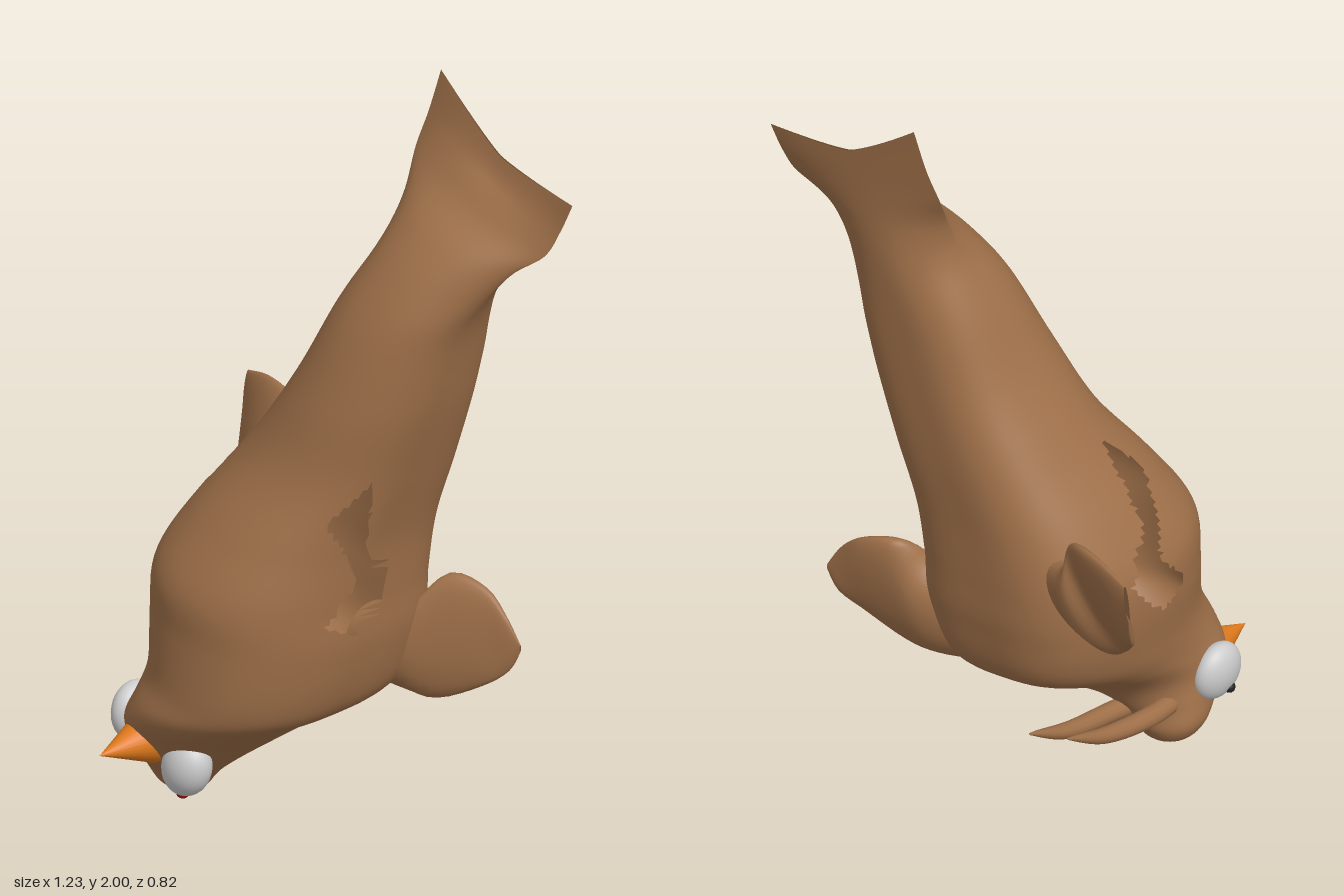
import * as THREE from 'three';

const mat = (color) => new THREE.MeshStandardMaterial({ color, side: THREE.DoubleSide, roughness: 0.9 });
const hide = mat(0x9f7049), orange = mat(0xe07a1c), white = mat(0xcccccc), red = mat(0xa01818), dark = mat(0x222222);

// Uniform Catmull-Rom between rows of numbers
function refine(rows, steps) {
  const out = [];
  const at = (i) => rows[Math.min(rows.length - 1, Math.max(0, i))];
  for (let i = 0; i < rows.length - 1; i++) {
    for (let s = 0; s < steps; s++) {
      const t = s / steps;
      out.push(rows[i].map((_, k) => {
        const [p, q, r, w] = [at(i - 1)[k], at(i)[k], at(i + 1)[k], at(i + 2)[k]];
        return q + 0.5 * t * (r - p + t * (2 * p - 5 * q + 4 * r - w + t * (3 * (q - r) + w - p)));
      }));
    }
  }
  out.push(rows[rows.length - 1]);
  return out;
}

// Skin over oval sections: edge points (ax, ay) and (bx, by), front z, back z.
// form(y, row) may give skew (edge b forward), square (boxy back), pinch (thin edges), dip (sunken middle)
function loft(rows, steps, segs, form, isHole = () => false) {
  const rings = refine(rows, steps), pos = [], index = [];
  const power = (n, e) => Math.sign(n) * Math.abs(n) ** e;
  for (const ring of rings) {
    const [ax, ay, bx, by, zf, zb] = ring;
    const { skew = 0, square = 0, pinch = 0, dip = 0 } = form((ay + by) / 2, ring);
    for (let i = 0; i < segs; i++) {
      const t = (i / segs) * Math.PI * 2;
      const c = -Math.cos(t), s = Math.sin(t);
      const e = s > 0 ? 0.95 : 0.95 - square * (c > 0 ? 0.45 : 0.2);
      const u = power(c, e), v = power(s, e + pinch);
      const sag = dip * (1 - Math.abs(u) ** 1.3);
      pos.push(
        (ax + bx) / 2 + (u * (bx - ax)) / 2 - sag * 0.4,
        (ay + by) / 2 + (u * (by - ay)) / 2 - sag * 0.9,
        (zf + zb) / 2 + (v * (zf - zb)) / 2 + skew * u
      );
    }
  }
  for (let r = 0; r < rings.length - 1; r++) {
    for (let i = 0; i < segs; i++) {
      const a = r * segs + i, b = r * segs + ((i + 1) % segs), c = a + segs, d = b + segs;
      for (const tri of [[a, b, c], [b, d, c]]) {
        const mid = [0, 1, 2].map((k) => tri.reduce((sum, n) => sum + pos[n * 3 + k] / 3, 0));
        if (!isHole(...mid)) index.push(...tri);
      }
    }
  }
  const g = new THREE.BufferGeometry();
  g.setAttribute('position', new THREE.Float32BufferAttribute(pos, 3));
  g.setIndex(index);
  g.computeVertexNormals();
  return g;
}

// Piecewise linear value through [y, z] points of rising y
function along(points, y) {
  const i = Math.max(1, points.findIndex((p) => p[0] >= y));
  const [[y0, z0], [y1, z1]] = [points[i - 1], points[i]];
  return THREE.MathUtils.mapLinear(y, y0, y1, z0, z1);
}

export function createModel() {
  const model = new THREE.Group();
  const add = (name, geometry, material, x = 0, y = 0, z = 0) => {
    const m = new THREE.Mesh(geometry, material);
    m.name = name;
    m.position.set(x, y, z);
    model.add(m);
    return m;
  };

  // Head, body and tail fluke in one skin, with a ragged gap in each flank
  const body = [
    [-0.31, 0.005, -0.31, 0.005, 0.11, 0.11],
    [-0.37, 0.015, -0.25, 0.005, 0.16, 0.05],
    [-0.41, 0.07, -0.22, 0.04, 0.19, 0.02],
    [-0.41, 0.14, -0.18, 0.08, 0.23, 0.01],
    [-0.4, 0.22, -0.11, 0.14, 0.275, -0.04],
    [-0.39, 0.3, 0.02, 0.24, 0.31, -0.2],
    [-0.4, 0.4, 0.12, 0.31, 0.3, -0.35],
    [-0.42, 0.55, 0.17, 0.48, 0.29, -0.39],
    [-0.41, 0.68, 0.18, 0.62, 0.28, -0.395],
    [-0.34, 0.82, 0.2, 0.78, 0.2, -0.395],
    [-0.22, 1.0, 0.25, 0.96, 0.09, -0.4],
    [-0.1, 1.2, 0.31, 1.16, 0.025, -0.4],
    [-0.01, 1.4, 0.36, 1.36, -0.045, -0.4],
    [0.06, 1.55, 0.41, 1.47, -0.12, -0.4],
    [0.08, 1.67, 0.48, 1.57, -0.21, -0.4],
    [0.07, 1.78, 0.55, 1.63, -0.31, -0.4],
    [0.09, 1.88, 0.58, 1.7, -0.365, -0.4],
    [0.12, 2.0, 0.61, 1.78, -0.395, -0.4],
  ];
  const rise = THREE.MathUtils.smoothstep;
  const bodyForm = (y) => ({
    skew: -0.05 * Math.exp(-(((y - 0.2) / 0.09) ** 2)),
    square: rise(y, 0.1, 0.45) - rise(y, 1.3, 1.62),
    pinch: rise(y, 1.42, 1.75),
    dip: 0.065 * rise(y, 1.72, 1.89),
  });
  const gapFront = [[0.53, -0.04], [0.58, 0.05], [0.69, -0.04], [0.87, 0.05], [0.98, -0.05]];
  const gapBack = [[0.53, -0.04], [0.65, -0.15], [0.72, -0.12], [0.77, -0.06], [0.98, -0.05]];
  const flankGap = (x, y, z) =>
    y > 0.53 && y < 0.98 && z < along(gapFront, y) && z > along(gapBack, y);
  add('body', loft(body, 8, 120, bodyForm, flankGap), hide);

  // Flippers, root to tip; the seventh number slants the blade back from its leading edge
  const flipperForm = (y, row) => ({ skew: row[6] });
  add('leftFlipper', loft([
    [0.0, 0.5, -0.02, 0.31, -0.18, -0.35, 0],
    [0.13, 0.54, 0.1, 0.285, -0.22, -0.37, 0],
    [0.2, 0.62, 0.2, 0.28, -0.28, -0.385, 0.02],
    [0.3, 0.6, 0.32, 0.34, -0.34, -0.4, 0.015],
    [0.37, 0.54, 0.38, 0.39, -0.375, -0.405, 0],
    [0.41, 0.47, 0.41, 0.45, -0.4, -0.405, 0],
  ], 4, 32, flipperForm), hide);
  add('rightFlipper', loft([
    [-0.3, 0.4, -0.25, 0.78, -0.14, -0.32, -0.06],
    [-0.4, 0.46, -0.34, 0.8, -0.17, -0.33, -0.08],
    [-0.46, 0.53, -0.36, 0.88, -0.23, -0.32, -0.065],
    [-0.53, 0.61, -0.42, 0.92, -0.29, -0.36, -0.04],
    [-0.59, 0.69, -0.52, 0.925, -0.35, -0.395, -0.015],
    [-0.62, 0.8, -0.605, 0.905, -0.395, -0.41, 0],
  ], 4, 32, flipperForm), hide);

  // Tapered tusks sweeping backwards
  for (const [name, x, y] of [['rightTusk', -0.36, 0.05], ['leftTusk', -0.23, 0]]) {
    const path = new THREE.CatmullRomCurve3([
      new THREE.Vector3(x * 0.8 - 0.06, y + 0.09, 0.09),
      new THREE.Vector3(x, y + 0.1, -0.02),
      new THREE.Vector3(x, y + 0.14, -0.2),
      new THREE.Vector3(x, y + 0.21, -0.345),
    ]);
    const tusk = new THREE.TubeGeometry(path, 24, 0.028, 12), p = tusk.attributes.position;
    for (let i = 0; i < p.count; i++) {
      const t = Math.floor(i / 13) / 24, c = path.getPointAt(t);
      const v = new THREE.Vector3().fromBufferAttribute(p, i).sub(c).multiplyScalar(1 - 0.9 * t ** 3.5).add(c);
      p.setXYZ(i, v.x, v.y, v.z);
    }
    add(name, tusk, hide);
  }

  // Cone nose
  const nose = add('nose', new THREE.ConeGeometry(0.07, 0.17, 24), orange, -0.302, 0.175, 0.322);
  nose.rotation.x = Math.PI / 2;

  // Bulging eyes with small pupils
  for (const [side, x, y, z, tilt] of [['left', -0.185, 0.122, 0.21, -0.4], ['right', -0.4, 0.2, 0.185, 0.1]]) {
    const eye = add(side + 'Eye', new THREE.SphereGeometry(1, 28, 20), white, x, y, z);
    eye.scale.set(side === 'left' ? 0.07 : 0.048, 0.083, side === 'left' ? 0.06 : 0.078);
    eye.rotation.z = tilt;
  }
  add('leftPupil', new THREE.SphereGeometry(0.018, 16, 12), red, -0.2, 0.046, 0.21);
  add('rightPupil', new THREE.SphereGeometry(0.016, 16, 12), dark, -0.43, 0.153, 0.2);

  return model;
}
